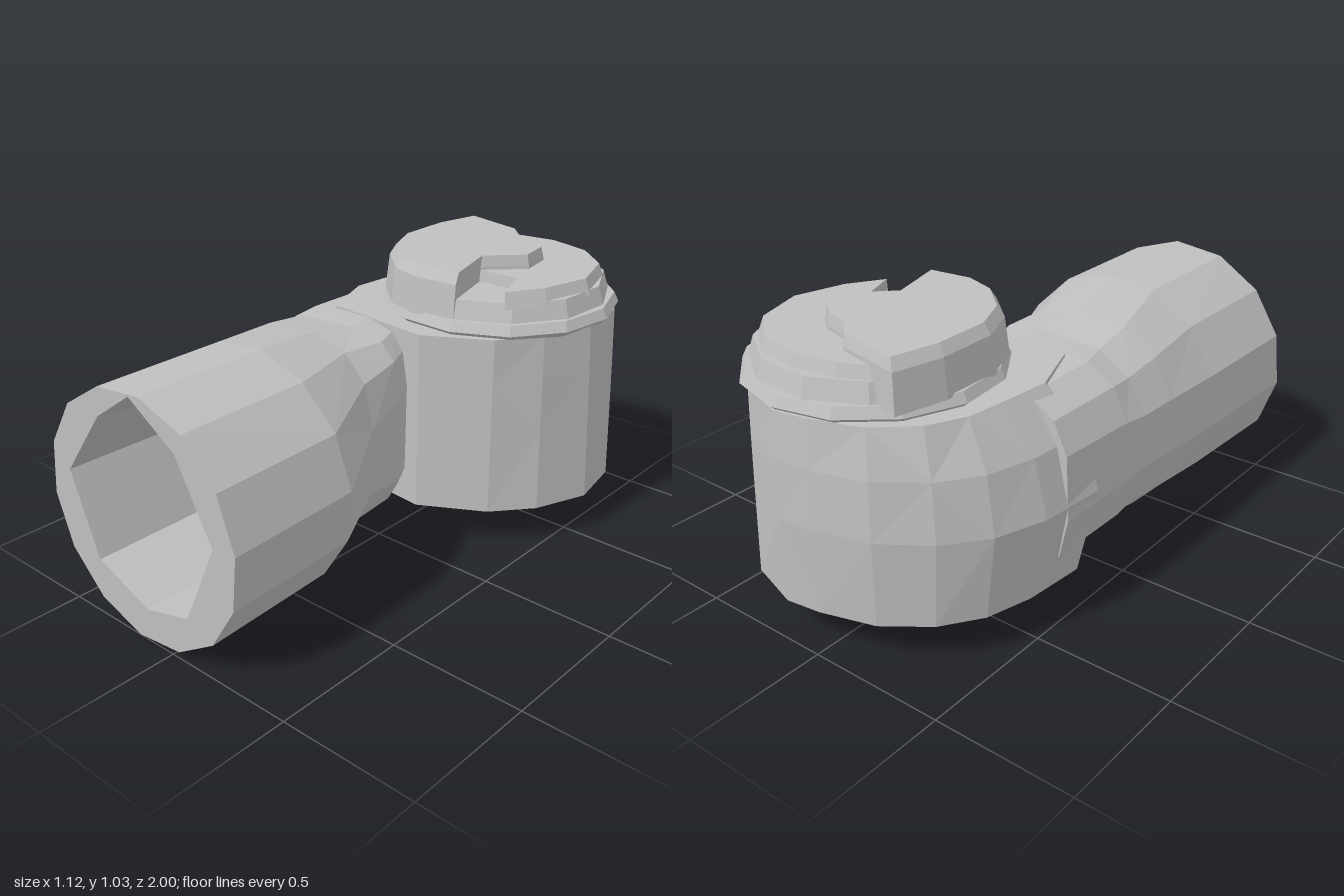
import * as THREE from 'three';

const grey = new THREE.MeshStandardMaterial({ color: 0xbfbfbf });
grey.name = 'castGrey';

// Skin rings of [x, y, z], counter-clockwise seen from the first ring, with flat facets
function loft(name, rings, { start = true, end = true, vertical = false } = {}) {
  const pos = [];
  const tri = (a, b, c) => pos.push(...a, ...b, ...c);
  const n = rings[0].length;
  for (let i = 0; i < rings.length - 1; i++) {
    for (let j = 0; j < n; j++) {
      const k = (j + 1) % n;
      const a = rings[i][j], b = rings[i][k], c = rings[i + 1][j], d = rings[i + 1][k];
      if ((i + j) % 2) { tri(a, c, b); tri(b, c, d); }
      else { tri(a, c, d); tri(a, d, b); }
    }
  }
  const cap = (ring, isEnd) => {
    const flat = ring.map(p => new THREE.Vector2(p[0], vertical ? -p[2] : p[1]));
    const flip = isEnd && THREE.ShapeUtils.area(flat) > 0;
    for (const [a, b, c] of THREE.ShapeUtils.triangulateShape(flat, [])) {
      if (flip) tri(ring[a], ring[c], ring[b]);
      else tri(ring[a], ring[b], ring[c]);
    }
  };
  if (start) cap(rings[0], false);
  if (end) cap(rings[rings.length - 1], true);
  const g = new THREE.BufferGeometry();
  g.setAttribute('position', new THREE.Float32BufferAttribute(pos, 3));
  g.computeVertexNormals();
  const mesh = new THREE.Mesh(g, grey);
  mesh.name = name;
  return mesh;
}

// Pipe section: a circle that becomes boxy, with its own exponent on the right side
function section([z, x0, x1, y0, y1, eLeft, eRight]) {
  const ring = [];
  for (let i = 0; i < 14; i++) {
    const a = (i / 14) * Math.PI * 2 + Math.PI / 14 * 0.5;
    const c = Math.cos(a), s = Math.sin(a), e = c > 0 ? eRight : eLeft;
    const p = v => Math.sign(v) * Math.abs(v) ** e;
    ring.push([(x0 + x1) / 2 + p(c) * (x1 - x0) / 2, (y0 + y1) / 2 + p(s) * (y1 - y0) / 2, z]);
  }
  return ring;
}

// Slab standing on y0 whose foot is wider than its top, scaled about the lid centre
const CX = 0.12, CZ = -0.55;
function slab(name, outline, levels) {
  const rings = levels.map(([y, s]) =>
    outline.map(([x, z]) => [CX + (x - CX) * s, y, CZ + (z - CZ) * s]));
  return loft(name, rings, { vertical: true });
}

function disc(radius, sides, turn = 0) {
  return Array.from({ length: sides }, (_, i) => {
    const a = (i / sides) * Math.PI * 2 + turn;
    return [CX + Math.cos(a) * radius, CZ - Math.sin(a) * radius];
  });
}

export function createModel() {
  const model = new THREE.Group();
  model.name = 'elbowHousing';

  // Pipe: round mouth, narrowing neck, squarer where it enters the drum
  const pipe = [
    [1, -0.56, 0.33, 0, 0.885, 1, 1],
    [0.5, -0.56, 0.325, 0.02, 0.885, 1, 1],
    [0.2, -0.557, 0.15, 0.1, 0.845, 0.9, 0.7],
    [0.03, -0.555, 0.12, 0.145, 0.82, 0.85, 0.45],
    [-0.08, -0.553, 0.07, 0.15, 0.82, 0.75, 0.45],
    [-0.4, -0.54, 0.05, 0.15, 0.815, 0.7, 0.5],
  ].map(section);
  model.add(loft('pipe', pipe, { start: false }));

  // Pocket in the mouth, with a peak at the top of its opening
  const pocket = [[-0.11, 0.79], [-0.27, 0.75], [-0.45, 0.51], [-0.34, 0.22],
    [-0.11, 0.13], [0.08, 0.18], [0.22, 0.48], [0.08, 0.74]];
  const opening = pocket.map(([x, y], i) =>
    i === 0 ? [x, 0.87] : [-0.11 + (x + 0.11) * 1.03, 0.46 + (y - 0.46) * 1.02]);
  const wall = [opening.map(([x, y]) => [x, y, 1]), pocket.map(([x, y]) => [x, y, 0.55])];
  model.add(loft('pocket', wall.map(r => r.reverse()), { start: false }));

  // Flat rim around the pocket
  const rimShape = new THREE.Shape(pipe[0].map(p => new THREE.Vector2(p[0], p[1])));
  rimShape.holes.push(new THREE.Path(opening.map(p => new THREE.Vector2(p[0], p[1]))));
  const rim = new THREE.Mesh(new THREE.ShapeGeometry(rimShape), grey);
  rim.position.z = 1;
  rim.name = 'rim';
  model.add(rim);

  // Drum: outline [x, z, inset of the top edge]
  const drum = [
    [0.13, -0.06, 0], [0.36, -0.19, 0], [0.48, -0.33, 0.02], [0.56, -0.53, 0.03],
    [0.52, -0.75, 0.02], [0.33, -0.93, 0.02], [0.13, -1, 0.02], [0, -0.985, 0.03],
    [-0.2, -0.93, 0.05], [-0.36, -0.82, 0.08], [-0.47, -0.68, 0.12],
    [-0.53, -0.5, 0.16], [-0.55, -0.25, 0.18], [-0.3, -0.1, 0],
  ];
  const drumRing = (y, k, grow) => drum.map(([x, z, inset]) => {
    const d = Math.hypot(x - CX, z - CZ);
    const s = 1 - (x > 0.2 ? inset * grow : inset * k) / d;
    return [CX + (x - CX) * s, y, CZ + (z - CZ) * s];
  });
  model.add(loft('drum', [
    drumRing(0.82, 1, 1), drumRing(0.66, 0.3, 0.7), drumRing(0.46, 0, 0.4), drumRing(0.15, 0.35, 0),
  ], { vertical: true }));

  // Lid: flange, lower step, raised back part and highest S-edged part
  model.add(slab('lidFlange', disc(0.43, 13, 0.1), [[0.87, 0.98], [0.835, 1.02], [0.81, 0.95]]));
  model.add(slab('lidStep', disc(0.395, 12, 0.2), [[0.935, 0.97], [0.86, 1.03]]));
  const back = [[0.36, -0.24], [0.44, -0.37], [0.49, -0.56], [0.43, -0.75], [0.3, -0.86],
    [0.13, -0.9], [-0.04, -0.87], [-0.15, -0.81], [0, -0.6], [0.14, -0.39], [0.3, -0.4]];
  model.add(slab('lidBack', back, [[0.977, 0.97], [0.92, 1.03]]));
  const high = [[-0.22, -0.83], [-0.26, -0.66], [-0.26, -0.45], [-0.2, -0.31], [-0.08, -0.2],
    [0.04, -0.16], [0.2, -0.18], [0.14, -0.4], [0.26, -0.52], [0.24, -0.64],
    [0.18, -0.69], [0.08, -0.72], [0.02, -0.78]];
  model.add(slab('lidHigh', high, [[1.028, 0.97], [0.99, 1.03], [0.86, 1.07]]));

  return model;
}
